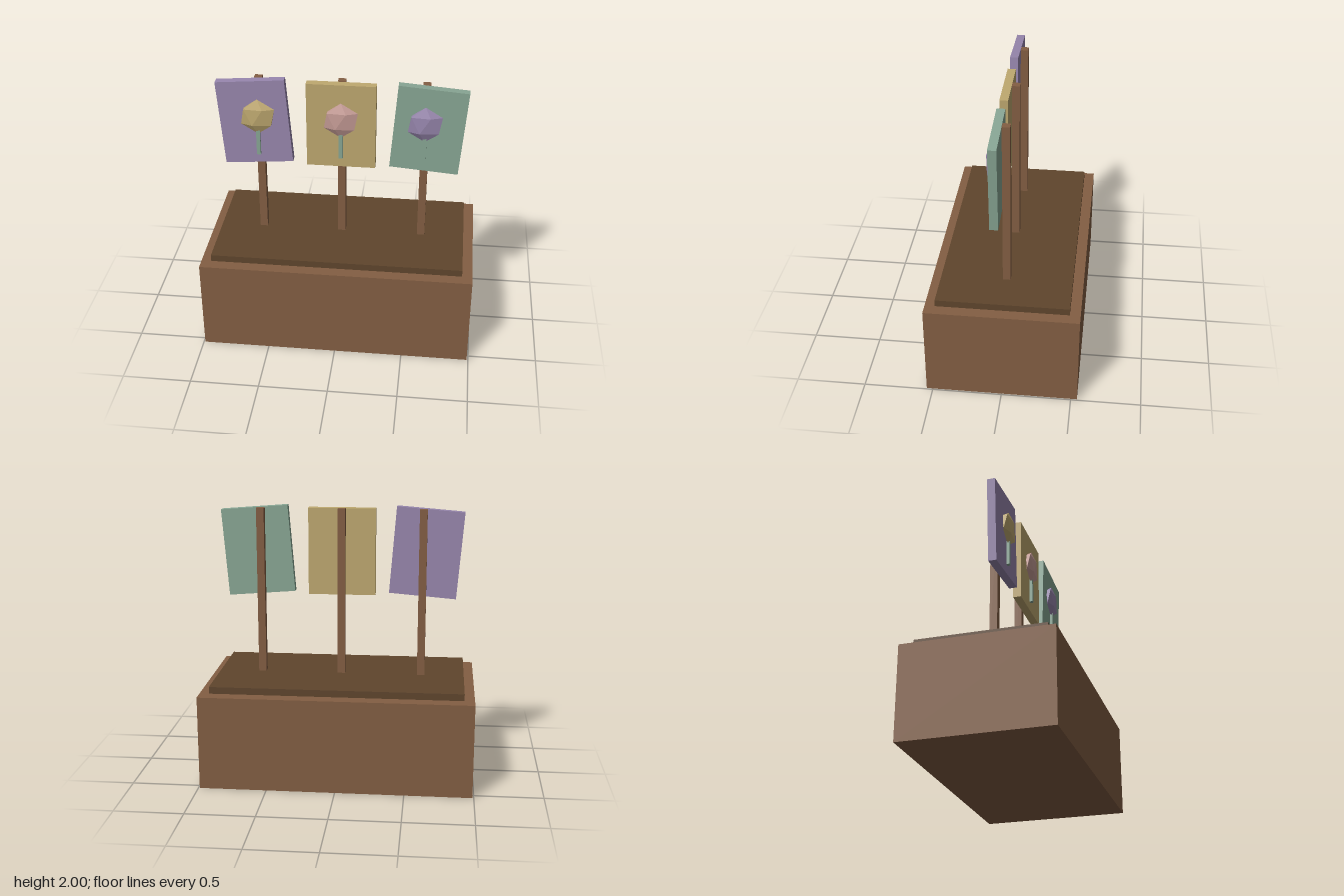
import * as THREE from 'three';

const mat = (name, color) => {
  const m = new THREE.MeshStandardMaterial({ color });
  m.name = name;
  return m;
};

// Faceted bud: icosahedron with a vertex at the top and bottom
function budGeometry(r) {
  const h = r / Math.sqrt(5), ringR = 2 * h;
  const ring = (y, start) => Array.from({ length: 5 }, (_, i) => {
    const a = start + (i * Math.PI * 2) / 5;
    return new THREE.Vector3(Math.cos(a) * ringR, y, -Math.sin(a) * ringR);
  });
  const up = ring(h, 0), low = ring(-h, Math.PI / 5);
  const top = new THREE.Vector3(0, r, 0), bottom = new THREE.Vector3(0, -r, 0);
  const pts = [];
  for (let i = 0; i < 5; i++) {
    const j = (i + 1) % 5;
    pts.push(top, up[i], up[j], up[i], low[i], up[j]);
    pts.push(up[j], low[i], low[j], bottom, low[j], low[i]);
  }
  const g = new THREE.BufferGeometry().setFromPoints(pts);
  g.scale(1, 1, 0.27);
  g.computeVertexNormals(); // unshared corners give flat facets
  return g;
}

export function createModel() {
  const model = new THREE.Group();
  model.name = 'planterWithSigns';

  const wood = mat('wood', 0x835e43);
  const soil = mat('soil', 0x60462d);
  const purple = mat('purple', 0x9887ae);
  const yellow = mat('yellow', 0xbfa970);
  const green = mat('green', 0x89a795);
  const pink = mat('pink', 0xc69c96);

  const add = (parent, name, geometry, material, x, y, z) => {
    const mesh = new THREE.Mesh(geometry, material);
    mesh.name = name;
    mesh.position.set(x, y, z);
    parent.add(mesh);
    return mesh;
  };

  // Planter box and the soil slab on top
  add(model, 'planterBox', new THREE.BoxGeometry(1.98, 0.694, 1.09), wood, 0, 0.347, 0);
  add(model, 'soil', new THREE.BoxGeometry(1.83, 0.05, 0.94), soil, 0, 0.727, 0);

  // Three posts, each with a board and a flower emblem
  const postGeo = new THREE.BoxGeometry(0.056, 1.295, 0.056);
  const boardGeo = new THREE.BoxGeometry(0.495, 0.642, 0.06);
  const stemGeo = new THREE.BoxGeometry(0.028, 0.195, 0.03);
  const budGeo = budGeometry(0.135);
  const signs = [
    { side: 'right', x: -0.595, boardX: -0.621, tilt: 0.08, board: purple, bud: yellow },
    { side: 'middle', x: 0, boardX: 0, tilt: 0, board: yellow, bud: pink },
    { side: 'left', x: 0.595, boardX: 0.621, tilt: -0.08, board: green, bud: purple },
  ];
  for (const s of signs) {
    const sign = new THREE.Group();
    sign.name = s.side + 'Sign';
    add(sign, 'post', postGeo, wood, s.x, 1.3375, 0);
    add(sign, 'board', boardGeo, s.board, s.boardX, 1.662, 0.059).rotation.z = s.tilt;
    add(sign, 'flowerStem', stemGeo, green, s.x, 1.5125, 0.095);
    add(sign, 'flowerBud', budGeo, s.bud, s.x, 1.715, 0.1);
    model.add(sign);
  }
  return model;
}
